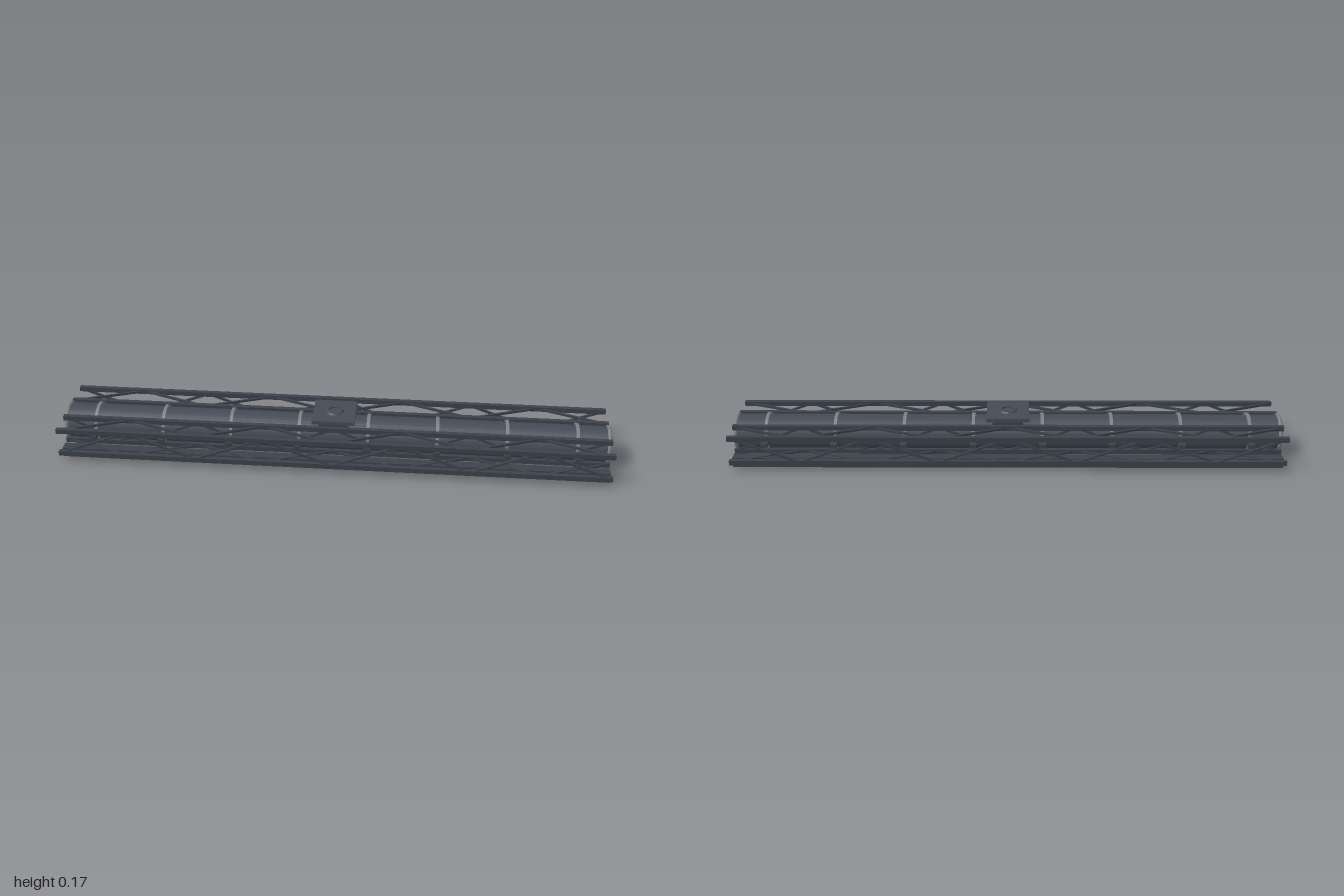
import * as THREE from 'three';

const paint = (name, color) => {
  const m = new THREE.MeshStandardMaterial({ color });
  m.name = name;
  return m;
};

export function createModel() {
  const model = new THREE.Group();
  model.name = 'trussBeam';
  const tubeGrey = paint('tube slate', 0x454b56);
  const frameGrey = paint('frame slate', 0x3c424b);
  const steel = paint('band steel', 0x7a7f84);
  const axisY = 0.081;

  const add = (name, geometry, material, x, y, z, parent = model) => {
    const mesh = new THREE.Mesh(geometry, material);
    mesh.name = name;
    mesh.position.set(x, y, z);
    parent.add(mesh);
    return mesh;
  };
  const box = (name, w, h, d, x, y, z, material = frameGrey, parent = model) =>
    add(name, new THREE.BoxGeometry(w, h, d), material, x, y, z, parent);
  // Square bar between two points
  const bar = (name, a, b, size, parent) => {
    const mid = a.clone().add(b).multiplyScalar(0.5);
    const mesh = box(name, size, size, a.distanceTo(b), mid.x, mid.y, mid.z, frameGrey, parent);
    mesh.lookAt(b);
  };

  // Central tube with steel rims and clamp bands
  const along = (g) => g.rotateZ(Math.PI / 2);
  add('mainTube', along(new THREE.CylinderGeometry(0.067, 0.067, 1.976, 32)), tubeGrey, 0, axisY, 0);
  for (const s of [-1, 1]) {
    add('endRim', new THREE.TorusGeometry(0.0645, 0.0075, 10, 32).rotateY(Math.PI / 2), steel, s * 0.988, axisY, 0);
  }
  const stations = Array.from({ length: 8 }, (_, i) => -0.875 + i * 0.25);
  for (const x of stations) {
    add('clampBand', along(new THREE.CylinderGeometry(0.0735, 0.0735, 0.012, 24)), steel, x, axisY, 0);
  }

  // Side trusses, base rails and brackets
  const inner = 0.062, outer = 0.156, low = 0.035, high = 0.128;
  for (const s of [-1, 1]) {
    const truss = new THREE.Group();
    truss.name = s > 0 ? 'frontTruss' : 'backTruss';
    model.add(truss);
    for (const z of [inner, outer]) {
      for (const y of [low, high]) box('chord', 1.99, 0.017, 0.017, 0, y, s * z, frameGrey, truss);
    }
    box('baseRail', 1.985, 0.036, 0.036, 0, 0.018, s * 0.109, frameGrey, truss);
    for (const x of stations) {
      box('sideBracket', 0.024, 0.014, 0.06, x, axisY + 0.001, s * 0.094, frameGrey, truss);
    }

    // Zigzag lacing on the four faces, opposite faces out of step
    const zA = s > 0 ? inner : -outer, zB = s > 0 ? outer : -inner;
    for (let i = 0; i < 8; i++) {
      const x0 = -0.99 + i * 0.2475, x1 = x0 + 0.2475;
      const even = i % 2 === 0;
      for (const y of [low, high]) {
        const rise = (y === high) !== even;
        bar('lacing', new THREE.Vector3(x0, y, rise ? zA : zB),
          new THREE.Vector3(x1, y, rise ? zB : zA), 0.008, truss);
      }
      for (const z of [inner, outer]) {
        const rise = (z === outer) === (even === (s > 0));
        bar('lacing', new THREE.Vector3(x0, rise ? low : high, s * z),
          new THREE.Vector3(x1, rise ? high : low, s * z), 0.008, truss);
      }
    }
  }

  // Mounting saddle, plate and locating collar on top
  box('saddle', 0.11, 0.016, 0.124, 0, 0.148, 0);
  box('mountPlate', 0.154, 0.014, 0.154, 0, 0.163, 0, tubeGrey);
  const collar = [[0.022, 0.169], [0.034, 0.169], [0.029, 0.175], [0.022, 0.175], [0.022, 0.169]]
    .map(([r, y]) => new THREE.Vector2(r, y));
  const ring = add('collar', new THREE.LatheGeometry(collar, 24), tubeGrey, 0, 0, 0);
  ring.geometry = ring.geometry.toNonIndexed();
  ring.geometry.computeVertexNormals();
  return model;
}
